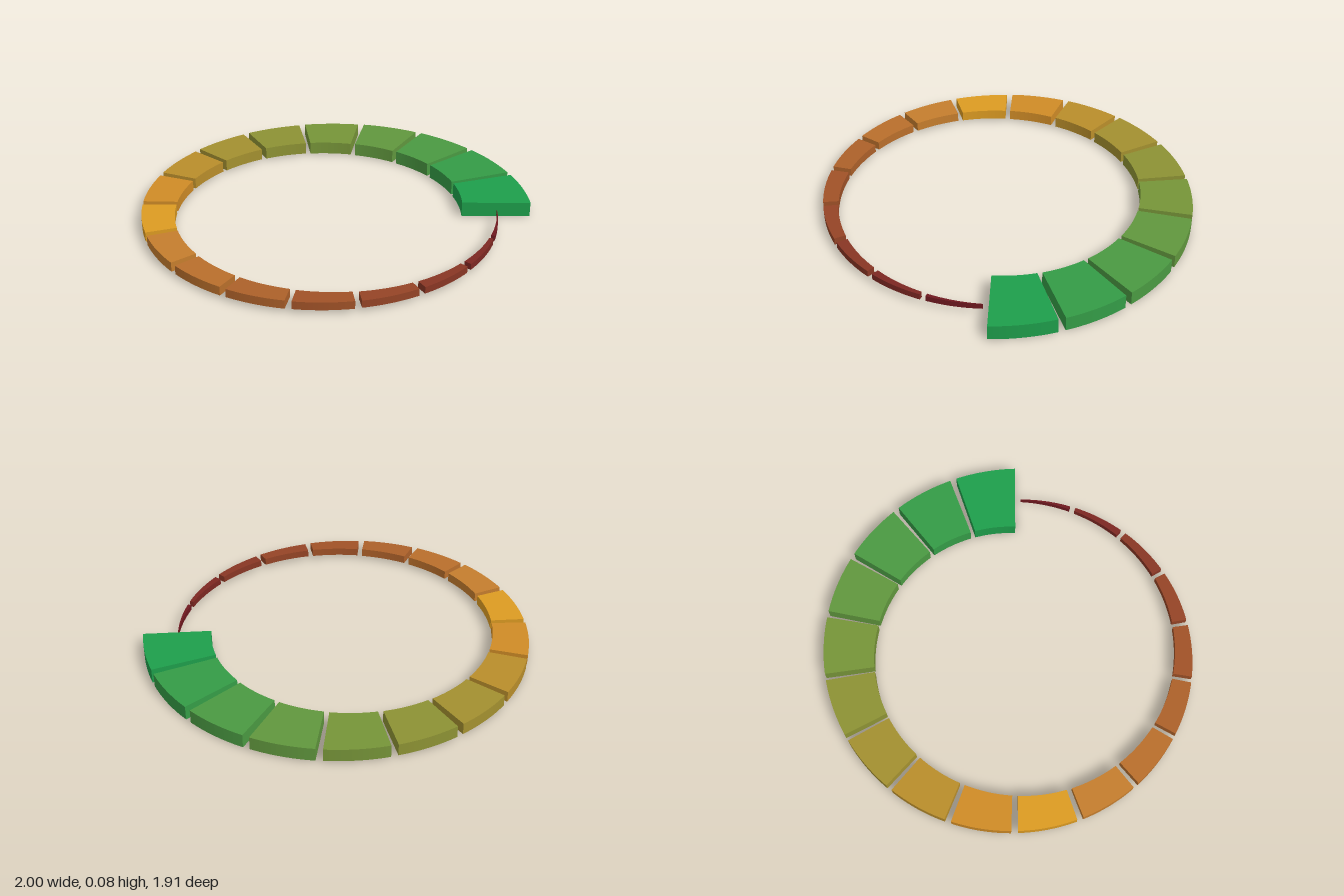
import * as THREE from 'three';

const COUNT = 18;            // blocks around the ring
const STEP = 20, GAP = 1;    // degrees per block, margin at each end
const MID_RADIUS = 0.885, HALF_WIDTH = 0.18;
const ARC_STEPS = 12;

// Point on the tapering ring: side is +1 for the outer edge, -1 for the inner
function ringPoint(deg, side) {
  const r = MID_RADIUS + side * HALF_WIDTH * (1 - deg / 360);
  const a = THREE.MathUtils.degToRad(deg - 40);
  return new THREE.Vector2(r * Math.cos(a), r * Math.sin(a));
}

// Green fades to amber, then amber fades to dark red
const GREEN = [30, 158, 75], OCHRE = [207, 139, 38], AMBER = [220, 155, 34];
const ORANGE = [197, 125, 45], DARK_RED = [112, 25, 32];

function blockColor(i) {
  const mix = (a, b, t) => a.map((v, k) => v + (b[k] - v) * t);
  let c = AMBER;
  if (i < 9) c = mix(GREEN, OCHRE, i / 8);
  else if (i > 9) c = mix(ORANGE, DARK_RED, (i - 10) / 7);
  return new THREE.Color().setRGB(c[0] / 255, c[1] / 255, c[2] / 255, THREE.SRGBColorSpace);
}

// One curved block, thinner and narrower the further round it sits
function makeBlock(i) {
  const start = i * STEP + GAP, end = (i + 1) * STEP - GAP;
  const outer = [], inner = [];
  for (let k = 0; k <= ARC_STEPS; k++) {
    const deg = start + (end - start) * k / ARC_STEPS;
    outer.push(ringPoint(deg, 1));
    inner.unshift(ringPoint(deg, -1));
  }
  const height = 0.08 - 0.05 * i / (COUNT - 1);
  const geometry = new THREE.ExtrudeGeometry(new THREE.Shape([...outer, ...inner]), {
    depth: height, bevelEnabled: false,
  });
  geometry.rotateX(-Math.PI / 2);
  geometry.translate(0, 0.04 - height / 2, 0);
  const mesh = new THREE.Mesh(geometry, new THREE.MeshStandardMaterial({ color: blockColor(i) }));
  mesh.name = `ringBlock${i + 1}`;
  return mesh;
}

export function createModel() {
  const model = new THREE.Group();
  model.name = 'taperingRing';
  const ring = new THREE.Group();
  ring.name = 'ringBlocks';
  for (let i = 0; i < COUNT; i++) ring.add(makeBlock(i));
  ring.position.set(-0.046, 0, 0.044);
  model.add(ring);
  return model;
}
